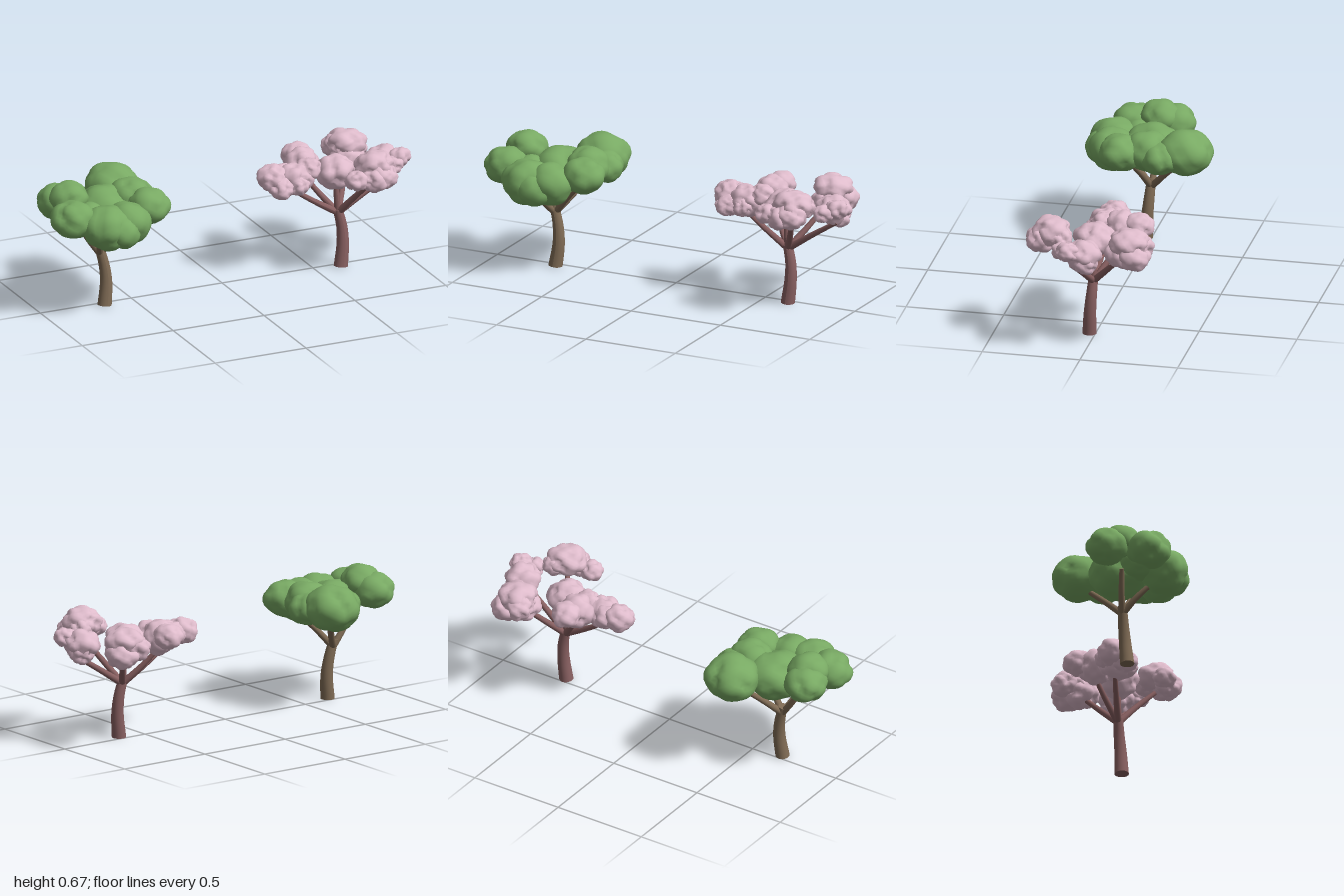
import * as THREE from 'three';
import { mergeVertices } from 'three/addons/utils/BufferGeometryUtils.js';

const mat = (name, color) => {
  const m = new THREE.MeshStandardMaterial({ color });
  m.name = name;
  return m;
};

// Tapered limb with flat end caps, swept along a smooth path
function limb(points, r0, r1, material, name, sides = 14) {
  const curve = new THREE.CatmullRomCurve3(points.map(p => new THREE.Vector3(...p)));
  const rows = 10;
  const geo = new THREE.CylinderGeometry(1, 1, 1, sides, rows);
  const pos = geo.attributes.position;
  const v = new THREE.Vector3(), q = new THREE.Quaternion(), up = new THREE.Vector3(0, 1, 0);
  for (let i = 0; i < pos.count; i++) {
    v.fromBufferAttribute(pos, i);
    const t = Math.min(1, Math.max(0, v.y + 0.5));
    q.setFromUnitVectors(up, curve.getTangentAt(t));
    const r = r0 + (r1 - r0) * t;
    v.set(v.x * r, 0, v.z * r).applyQuaternion(q).add(curve.getPointAt(t));
    pos.setXYZ(i, v.x, Math.max(0, v.y), v.z);
  }
  geo.computeVertexNormals();
  const mesh = new THREE.Mesh(geo, material);
  mesh.name = name;
  return mesh;
}

// Leaf clump: a sphere swollen by rounded lobes pointing in seeded directions
function clump([x, y, z, r, squash = 0.85], seed, lobes, depth, material, name) {
  let s = seed * 7919 + 17;
  const rand = () => (s = (s * 16807) % 2147483647) / 2147483647;
  const dirs = [];
  for (let i = 0; i < lobes; i++) {
    const h = 1 - 2 * (i + 0.5) / lobes, a = i * 2.39996 + seed + rand() * 0.7;
    const w = Math.sqrt(1 - h * h);
    dirs.push(new THREE.Vector3(w * Math.cos(a), h, w * Math.sin(a)));
  }
  const sizes = dirs.map(() => 0.8 + rand() * 0.4);
  let geo = new THREE.IcosahedronGeometry(1, 5);
  geo.deleteAttribute('uv');
  geo.deleteAttribute('normal');
  geo = mergeVertices(geo, 1e-4);
  const pos = geo.attributes.position, v = new THREE.Vector3();
  const spread = 2.6 / Math.sqrt(lobes);
  for (let i = 0; i < pos.count; i++) {
    v.fromBufferAttribute(pos, i);
    let bump = 0;
    dirs.forEach((d, k) => {
      const e = v.angleTo(d) / (spread * sizes[k]);
      if (e < 1) bump = Math.max(bump, Math.sqrt(1 - e * e) * sizes[k]);
    });
    v.multiplyScalar(r * (1 - depth + depth * bump));
    pos.setXYZ(i, v.x, v.y * squash, v.z);
  }
  geo.computeVertexNormals();
  const mesh = new THREE.Mesh(geo, material);
  mesh.position.set(x, y, z);
  mesh.name = name;
  return mesh;
}

function tree({ name, bark, leaf, trunk, radii, branches, clumps, lobes, depth }) {
  const g = new THREE.Group();
  g.name = name;
  g.add(limb(trunk, radii[0], radii[1], bark, 'trunk', 20));
  branches.forEach(b => g.add(limb(b, radii[2], radii[3], bark, 'branch')));
  clumps.forEach((c, i) => g.add(clump(c, i + 1, lobes, depth, leaf, 'leafClump')));
  return g;
}

export function createModel() {
  const model = new THREE.Group();
  model.name = 'twoTrees';

  // Broad green tree on the right
  model.add(tree({
    name: 'greenTree',
    bark: mat('brown bark', 0x7e6a54),
    leaf: mat('green leaves', 0x78a963),
    trunk: [[-0.66, 0, 0.03], [-0.647, 0.12, 0.02], [-0.655, 0.21, 0.012], [-0.68, 0.31, 0.005]],
    radii: [0.036, 0.023, 0.018, 0.012],
    branches: [
      [[-0.675, 0.27, 0.005], [-0.71, 0.35, 0.08], [-0.73, 0.43, 0.17]],
      [[-0.675, 0.27, 0.005], [-0.74, 0.36, 0.0], [-0.8, 0.46, 0.0]],
      [[-0.675, 0.27, 0.005], [-0.6, 0.37, -0.08], [-0.53, 0.48, -0.19]],
      [[-0.675, 0.27, 0.005], [-0.59, 0.37, 0.04], [-0.49, 0.47, 0.08]],
    ],
    clumps: [
      [-0.515, 0.537, -0.207, 0.143, 0.82], [-0.445, 0.52, -0.09, 0.1],
      [-0.64, 0.498, -0.01, 0.16, 0.78], [-0.87, 0.55, -0.075, 0.11],
      [-0.84, 0.585, -0.005, 0.105], [-0.885, 0.53, 0.135, 0.115],
      [-0.73, 0.485, 0.205, 0.13, 0.9], [-0.61, 0.485, 0.19, 0.12, 0.92],
      [-0.67, 0.465, 0.24, 0.1, 0.9], [-0.46, 0.53, 0.115, 0.112],
      [-0.5, 0.54, -0.01, 0.115], [-0.78, 0.5, 0.09, 0.1],
    ],
    lobes: 18, depth: 0.2,
  }));

  // Airy pink blossom tree on the left
  model.add(tree({
    name: 'blossomTree',
    bark: mat('reddish bark', 0x875f60),
    leaf: mat('pink blossom', 0xdebbcb),
    trunk: [[0.64, 0, 0.03], [0.653, 0.12, 0.025], [0.65, 0.21, 0.018], [0.63, 0.3, 0.012]],
    radii: [0.036, 0.024, 0.018, 0.011],
    branches: [
      [[0.632, 0.28, 0.012], [0.78, 0.38, 0.035], [0.93, 0.475, 0.06]],
      [[0.632, 0.28, 0.012], [0.69, 0.39, 0.1], [0.75, 0.51, 0.21]],
      [[0.632, 0.28, 0.012], [0.7, 0.38, -0.08], [0.77, 0.5, -0.19]],
      [[0.632, 0.28, 0.012], [0.5, 0.36, 0], [0.38, 0.44, -0.01]],
      [[0.632, 0.28, 0.012], [0.56, 0.37, -0.05], [0.49, 0.47, -0.11]],
      [[0.632, 0.28, 0.012], [0.625, 0.37, 0.012], [0.62, 0.48, 0.01]],
    ],
    clumps: [
      // back cluster
      [0.775, 0.56, -0.2, 0.105, 0.68], [0.765, 0.495, -0.165, 0.09], [0.735, 0.53, -0.25, 0.075],
      [0.815, 0.5, -0.235, 0.085],
      // centre
      [0.62, 0.5, 0.01, 0.107, 0.85],
      // outer left cluster
      [0.885, 0.52, 0.01, 0.095, 0.85], [0.94, 0.55, 0.075, 0.062], [0.885, 0.53, 0.12, 0.055],
      [0.9, 0.48, -0.01, 0.065],
      // front cluster
      [0.75, 0.58, 0.2, 0.105, 0.75], [0.63, 0.53, 0.245, 0.062], [0.715, 0.525, 0.265, 0.072],
      [0.79, 0.56, 0.15, 0.068], [0.77, 0.535, 0.25, 0.08],
      // inner right cluster
      [0.495, 0.54, -0.19, 0.078], [0.49, 0.52, -0.1, 0.095, 0.95], [0.4, 0.495, 0.0, 0.095, 0.9],
      [0.29, 0.51, -0.02, 0.085], [0.31, 0.47, 0.04, 0.068], [0.4, 0.475, 0.05, 0.06],
      [0.48, 0.53, -0.01, 0.07], [0.35, 0.505, -0.04, 0.07],
    ],
    lobes: 28, depth: 0.34,
  }));
  return model;
}
